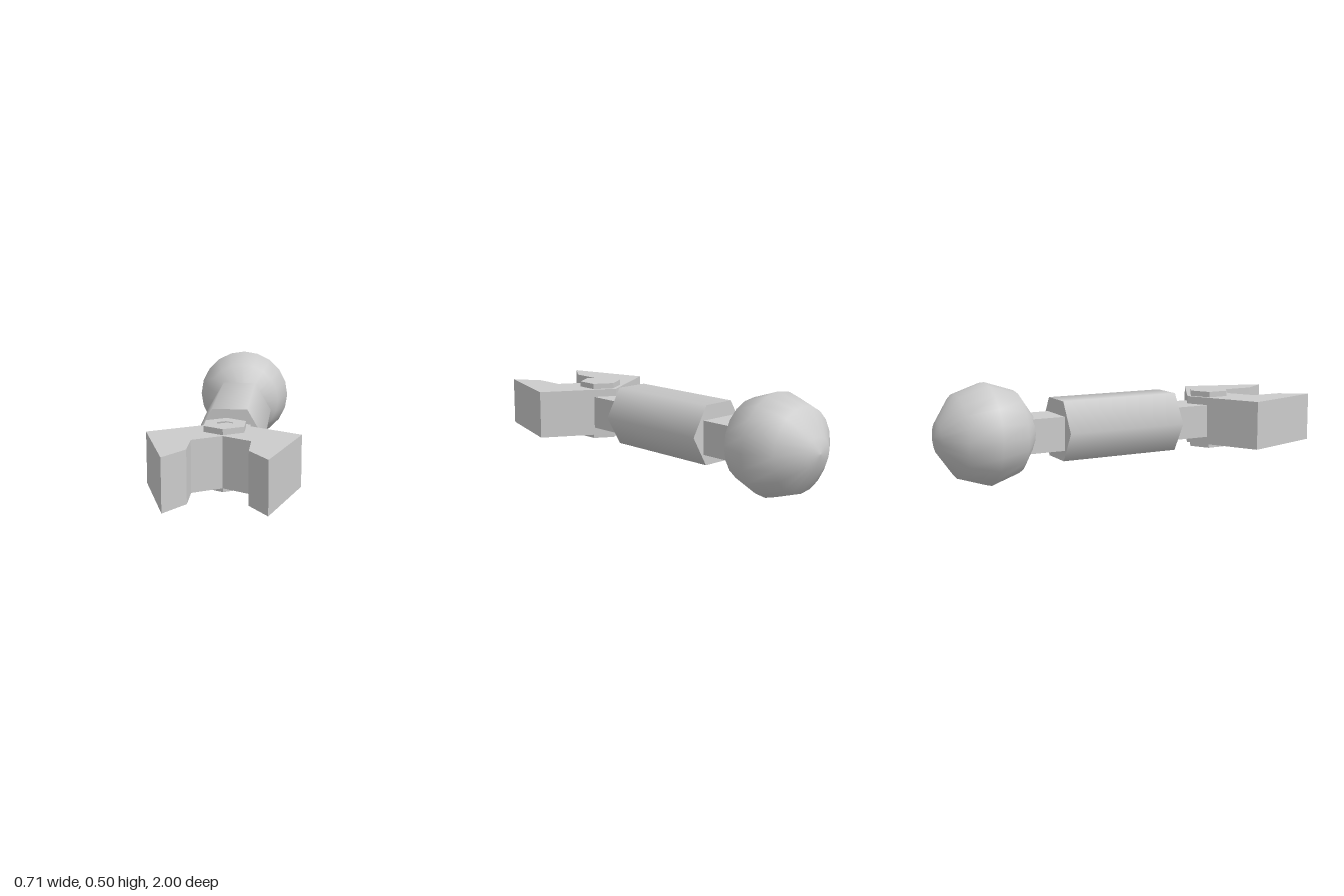
import * as THREE from 'three';

const CORE_Y = 0.236; // height of the claw and shaft centre line

// Outline of a regular hexagon with corners along z
function hexPoints(radius, z) {
  return Array.from({ length: 6 }, (_, i) => {
    const a = (i * Math.PI) / 3;
    return new THREE.Vector2(radius * Math.sin(a), z + radius * Math.cos(a));
  });
}

// Plate drawn in plan (x, z) and extruded from bottom to top
function plate(shape, bottom, top) {
  const geo = new THREE.ExtrudeGeometry(shape, { depth: top - bottom, bevelEnabled: false });
  return geo.rotateX(Math.PI / 2).translate(0, top, 0);
}

export function createModel() {
  const group = new THREE.Group();
  const material = new THREE.MeshStandardMaterial({ color: 0xcccccc });
  const add = (name, geo) => {
    const mesh = new THREE.Mesh(geo, material);
    mesh.name = name;
    group.add(mesh);
  };

  // Ball at the back: coarse rings along z, finer round the axis
  const profile = [-90, -72, -36, 0, 36, 72, 90].map((deg) => {
    const a = THREE.MathUtils.degToRad(deg);
    return new THREE.Vector2(Math.max(0, 0.25 * Math.cos(a)), 0.25 * Math.sin(a));
  });
  add('ball', new THREE.LatheGeometry(profile, 20).rotateX(Math.PI / 2).translate(0, 0.25, -0.75));

  // Square shaft running from the ball into the claw
  add('shaft', new THREE.BoxGeometry(0.206, 0.168, 1.12).translate(0, CORE_Y, -0.06));

  // Six-sided sleeve with soft shading, flat side up
  const sleeve = new THREE.CylinderGeometry(0.171, 0.171, 0.63, 6);
  sleeve.rotateY(Math.PI / 2).rotateX(Math.PI / 2).translate(0, 0.245, -0.063);
  add('sleeve', sleeve);

  // Open-ended claw, mirrored about x = 0
  const half = [[0.355, 0.58], [0.225, 1], [0.134, 0.868], [0.134, 0.71]];
  const outline = [
    [0, 0.38], ...half, [0, 0.632],
    ...half.map(([x, z]) => [-x, z]).reverse(),
  ].map(([x, z]) => new THREE.Vector2(x, z));
  add('claw', plate(new THREE.Shape(outline), 0.113, 0.359));

  // Hexagonal bolt heads with hexagonal sockets, above and below the claw
  const head = new THREE.Shape(hexPoints(0.108, 0.51));
  head.holes.push(new THREE.Path(hexPoints(0.043, 0.51)));
  add('upperBolt', plate(head, 0.359, 0.387));
  add('lowerBolt', plate(head, 0.09, 0.113));

  return group;
}
